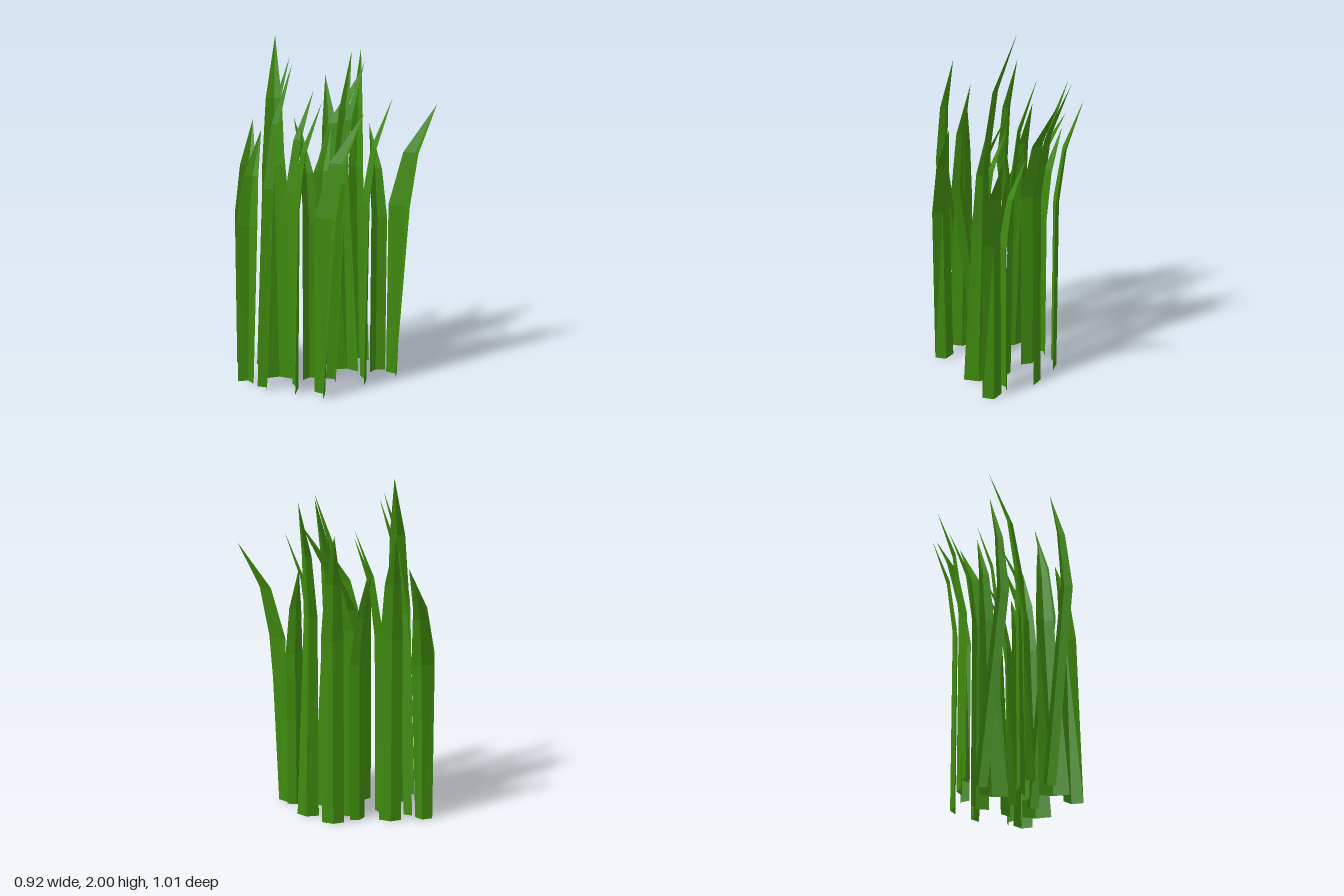
import * as THREE from 'three';

const material = new THREE.MeshStandardMaterial({
  color: 0x3f8a0e, flatShading: true, side: THREE.DoubleSide,
});
const point = (p) => new THREE.Vector2(p[0], p[1]).multiplyScalar(0.01);

// Blade shapes in hundredths of a unit, measured from the tip in (x, z).
// a, b: the two edges at the bend; twist: shift of edge b at the root;
// lean: shift of the whole root; h: height; tips: where the blades end.
const shapes = [
  { a: [9, 20.5], b: [15, 8.5], twist: [1, 4.5], h: 147, tips: [[-46, 12]] },
  { a: [3, 21], b: [12.3, 12.5], twist: [0, 4], h: 147, tips: [[-14.5, 29], [0, -11]] },
  { a: [5.5, 18], b: [10.6, 11], twist: [7.4, -2.5], h: 189, tips: [[3, -23.5]] },
  { a: [14.5, 5], b: [14.5, -5], h: 148, tips: [[-29, -6]] },
  { a: [13, 9], b: [15.5, -1], h: 148, tips: [[13.4, -28.5], [-1.6, 10.5]] },
  { a: [11, 12.3], b: [18, 1.4], h: 172, tips: [[-40.5, 3], [-26.5, -28]] },
  { a: [9.3, 17], b: [19, 8.2], twist: [2, -4.4], h: 200, tips: [[-14.5, 18.5]] },
  { a: [9.3, 17], b: [16.5, 12], twist: [2, -4.4], h: 189, tips: [[-7.7, -40]] },
  { a: [-11, 13], b: [-1, 16], twist: [4, 6], h: 166, tips: [[37.7, -24.5], [23, 14.7]] },
  { a: [-7.4, 15.5], b: [2.5, 15.5], twist: [6, 5], h: 167, tips: [[-8.5, -4.5]] },
  { a: [-5, 16.5], b: [3.5, 16], lean: [-12.3, -3.5], h: 188, tips: [[34.7, -6], [19.7, 33], [-9.8, 11.7]] },
  { a: [-14.4, 23.4], b: [0, 20], twist: [-3, 6.4], h: 161, tips: [[45.9, -51.5], [44, 2]] },
  { a: [-8.5, 30], b: [5.5, 26.4], h: 177, tips: [[-2.2, -36]] },
];

// A folded strip: three points per row (edge, keel, edge), closing to a tip
function bladeGeometry({ a, b, twist = [0, 0], lean = [0, 0], h }) {
  const edgeA = point(a), edgeB = point(b);
  const keel = edgeA.clone().add(edgeB).multiplyScalar(0.5 * 0.83);
  const bend = [edgeA, keel, edgeB];
  const root = bend.map((p, i) => p.clone().add(point(lean)).addScaledVector(point(twist), i / 2));
  const rows = [
    { y: 0, points: root },
    { y: 0.64, points: bend },
    { y: 0.83, points: bend.map((p) => p.clone().multiplyScalar(0.7)) },
    { y: 1, points: bend.map(() => new THREE.Vector2()) },
  ];

  const positions = [], index = [];
  for (const { y, points } of rows) {
    for (const p of points) positions.push(p.x, y * h * 0.01, p.y);
  }
  for (let r = 0; r < 3; r++) {
    for (let c = 0; c < 2; c++) {
      const i = r * 3 + c;
      index.push(i, i + 1, i + 3);
      if (r < 2) index.push(i + 1, i + 4, i + 3);
    }
  }
  const geometry = new THREE.BufferGeometry();
  geometry.setAttribute('position', new THREE.Float32BufferAttribute(positions, 3));
  geometry.setIndex(index);
  const flat = geometry.toNonIndexed();
  flat.computeVertexNormals();
  return flat;
}

export function createModel() {
  const group = new THREE.Group();
  group.name = 'grassClump';

  // Plant every blade so that its tip meets the listed spot
  for (const shape of shapes) {
    const geometry = bladeGeometry(shape);
    for (const tip of shape.tips) {
      const { x, y: z } = point(tip);
      const blade = new THREE.Mesh(geometry, material);
      blade.name = 'grassBlade';
      blade.position.set(x, 0, z);
      group.add(blade);
    }
  }
  return group;
}
